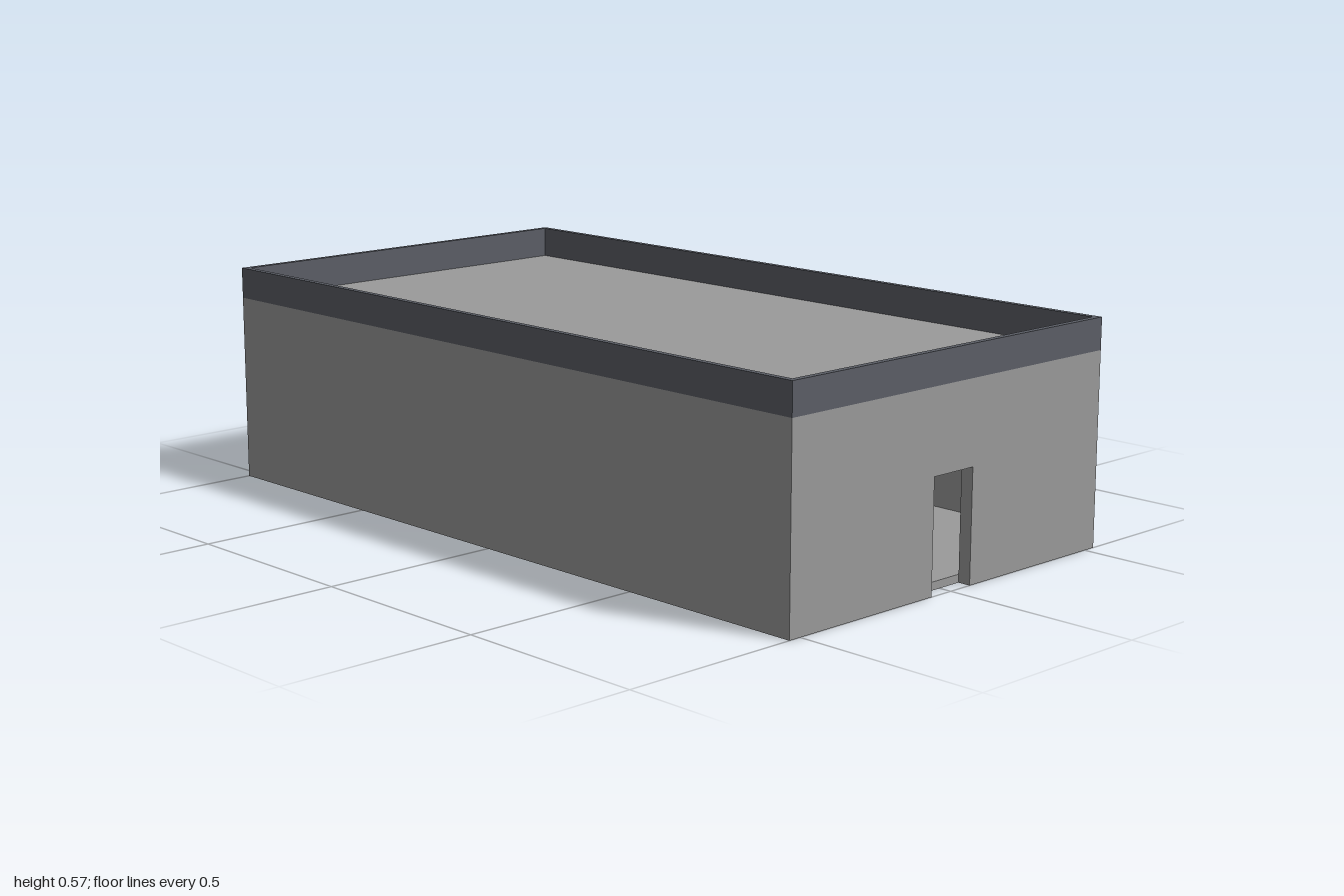
import * as THREE from 'three';

export function createModel() {
  const group = new THREE.Group();
  const concrete = new THREE.MeshStandardMaterial({ color: 0x9a9a9a });
  concrete.name = 'concrete grey';
  const slate = new THREE.MeshStandardMaterial({ color: 0x5b5e66 });
  slate.name = 'slate grey';

  const W = 1.067, D = 2, wallTop = 0.487, top = 0.567;
  const wall = 0.033, rim = 0.016, floorTop = 0.02, roofThick = 0.027;
  const doorHalf = 0.067, doorTop = 0.28;
  const innerW = W - 2 * wall, innerD = D - 2 * wall;

  const add = (name, geometry, material, x, y, z) => {
    const mesh = new THREE.Mesh(geometry, material);
    mesh.name = name;
    mesh.position.set(x, y, z);
    group.add(mesh);
    return mesh;
  };
  const box = (name, w, h, d, x, y, z) =>
    add(name, new THREE.BoxGeometry(w, h, d), concrete, x, y, z);

  // Front wall with an open doorway cut down to the ground
  const front = new THREE.Shape([
    [-W / 2, 0], [-doorHalf, 0], [-doorHalf, doorTop], [doorHalf, doorTop],
    [doorHalf, 0], [W / 2, 0], [W / 2, wallTop], [-W / 2, wallTop],
  ].map(([x, y]) => new THREE.Vector2(x, y)));
  add('frontWall', new THREE.ExtrudeGeometry(front, { depth: wall, bevelEnabled: false }),
    concrete, 0, 0, D / 2 - wall);

  // Back and side walls
  box('backWall', W, wallTop, wall, 0, wallTop / 2, -(D - wall) / 2);
  for (const [name, s] of [['leftWall', 1], ['rightWall', -1]]) {
    box(name, wall, wallTop, innerD, s * (W - wall) / 2, wallTop / 2, 0);
  }

  // Floor and roof slabs between the walls
  box('floor', innerW, floorTop, innerD, 0, floorTop / 2, 0);
  box('roof', innerW, roofThick, innerD, 0, wallTop - roofThick / 2, 0);

  // Parapet ring around the roof edge
  const rect = (Type, w, d) => new Type([[-1, -1], [1, -1], [1, 1], [-1, 1]]
    .map(([x, y]) => new THREE.Vector2(x * w / 2, y * d / 2)));
  const ring = rect(THREE.Shape, W, D);
  ring.holes.push(rect(THREE.Path, W - 2 * rim, D - 2 * rim));
  const parapet = new THREE.ExtrudeGeometry(ring, { depth: top - wallTop, bevelEnabled: false });
  parapet.rotateX(-Math.PI / 2);
  add('parapet', parapet, slate, 0, wallTop, 0);

  return group;
}
